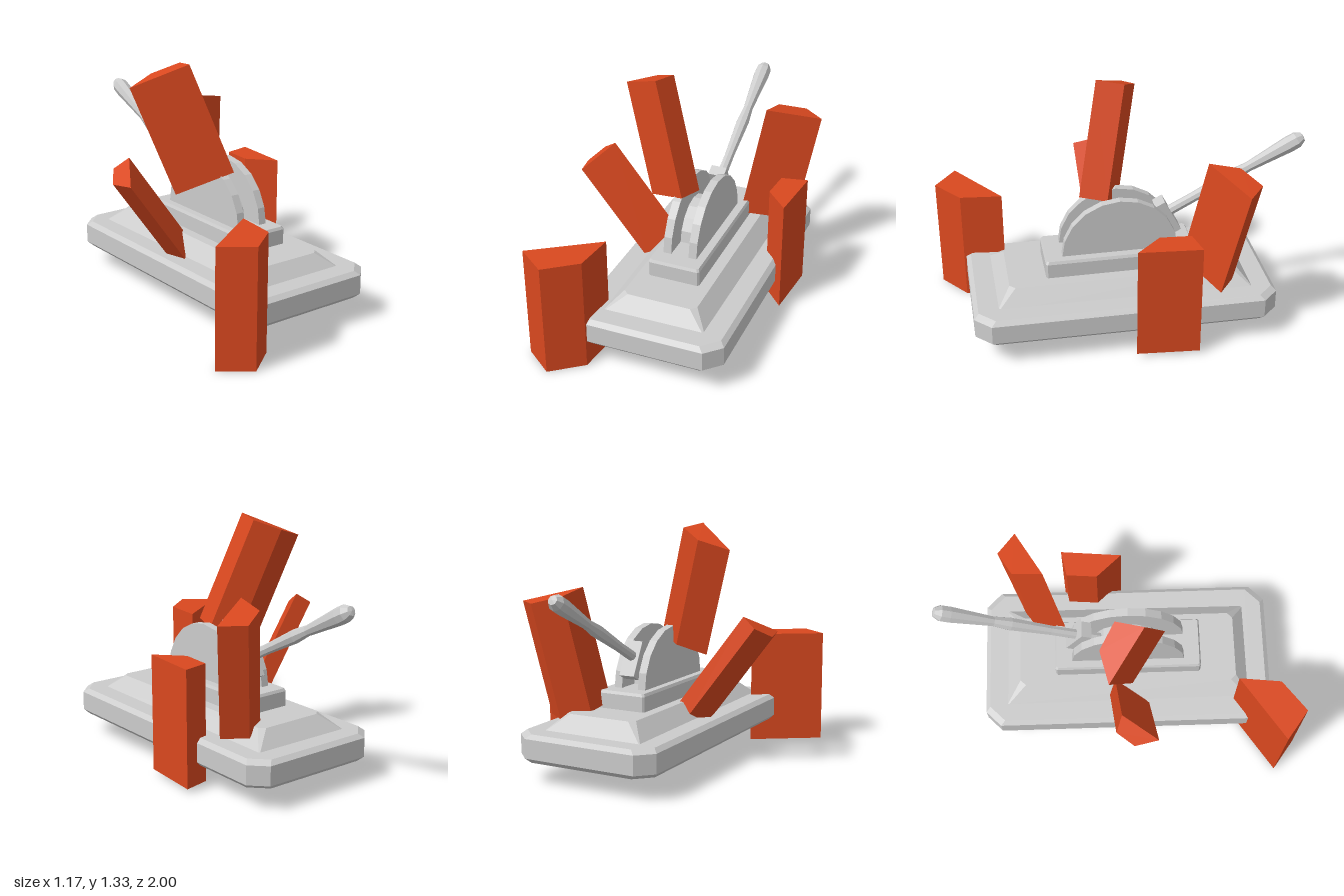
import * as THREE from 'three';
import { ConvexGeometry } from 'three/addons/geometries/ConvexGeometry.js';

const CX = 0.1, CZ = 0.035; // centre of the machine on its base
const TILT = 0.485; // lever's angle above the ground

export function createModel() {
  const model = new THREE.Group();
  model.name = 'leverOnBase';
  const grey = new THREE.MeshStandardMaterial({ color: 0xcccccc, flatShading: true });
  const red = new THREE.MeshStandardMaterial({ color: 0xd9481f, flatShading: true });

  function add(name, geometry, x = 0, y = 0, z = 0, material = grey, parent = model) {
    const mesh = new THREE.Mesh(geometry, material);
    mesh.name = name;
    mesh.position.set(x, y, z);
    parent.add(mesh);
    return mesh;
  }

  // Stack of corner-cut rectangles; each level is [halfX, halfZ, cornerCut, y]
  function loft(levels) {
    const pos = [], index = [];
    for (const [a, b, c, y] of levels) {
      const ring = [[a, b - c], [a, c - b], [a - c, -b], [c - a, -b], [-a, c - b], [-a, b - c], [c - a, b], [a - c, b]];
      for (const [x, z] of ring) pos.push(x, y, z);
    }
    const top = (levels.length - 1) * 8;
    for (let l = 0; l < top; l += 8) {
      for (let i = 0; i < 8; i++) {
        const j = (i + 1) % 8;
        index.push(l + i, l + j, l + 8 + j, l + i, l + 8 + j, l + 8 + i);
      }
    }
    for (let i = 1; i < 7; i++) {
      index.push(0, i + 1, i);
      index.push(top, top + i, top + i + 1);
    }
    const g = new THREE.BufferGeometry();
    g.setAttribute('position', new THREE.Float32BufferAttribute(pos, 3));
    g.setIndex(index);
    const flat = g.toNonIndexed();
    flat.computeVertexNormals();
    return flat;
  }

  // Base slab, slightly out of level
  const base = add('baseSlab', loft([
    [0.385, 0.8, 0.085, 0.12], [0.41, 0.825, 0.085, 0.145],
    [0.41, 0.825, 0.085, 0.25], [0.385, 0.8, 0.085, 0.272],
  ]), CX, 0, CZ);
  base.rotation.set(-0.007, 0, 0.005);

  // Sloped plinth and the block on it
  add('plinth', loft([[0.29, 0.7, 0.005, 0.265], [0.205, 0.62, 0.03, 0.353]]), CX, 0, CZ);
  add('mountBlock', loft([
    [0.145, 0.415, 0.01, 0.345], [0.145, 0.415, 0.01, 0.435], [0.137, 0.407, 0.01, 0.45],
  ]), 0.097, 0, CZ);

  // Half discs standing on the block: two side plates and a drum between them
  function halfDisc(name, radius, width, x, sides) {
    const g = new THREE.CylinderGeometry(radius, radius, width, sides, 1, false, 0, Math.PI);
    g.rotateZ(Math.PI / 2);
    add(name, g, x, 0.44, CZ);
  }
  halfDisc('leftPlate', 0.32, 0.045, 0.167, 10);
  halfDisc('rightPlate', 0.32, 0.045, 0.022, 10);
  halfDisc('drum', 0.19, 0.1, 0.095, 8);

  // Lever with a swelling grip, and the hub slab it passes through
  const profile = [
    [0, 0], [0.03, 0], [0.028, 0.3], [0.037, 0.54], [0.028, 0.64],
    [0.046, 0.89], [0.045, 0.94], [0.026, 0.975], [0, 0.98],
  ].map(([r, h]) => new THREE.Vector2(r, h));
  const lever = add('lever', new THREE.LatheGeometry(profile, 8), 0.097, 0.556, -0.125);
  lever.rotation.x = TILT - Math.PI / 2;
  const hub = add('leverHub', new THREE.BoxGeometry(0.09, 0.2, 0.06), 0.097, 0.6, -0.24);
  hub.rotation.x = TILT;

  // Four-sided red blocks: top corners, then the edge running from top to bottom
  const blocks = [
    ['frontBlock', [0, -0.64, 0],
      [[-0.55, 0.64, 0.88], [-0.39, 0.64, 1], [-0.22, 0.64, 0.87], [-0.195, 0.64, 0.64]]],
    ['sideBlock', [0, -0.64, 0],
      [[0.585, 0.66, -0.33], [0.44, 0.66, -0.3], [0.427, 0.66, -0.13], [0.555, 0.66, 0.01]]],
    ['highBlock', [0.2, -0.592, 0.13],
      [[-0.395, 1.2, -0.077], [-0.23, 1.25, -0.12], [-0.1, 1.307, -0.04], [-0.142, 1.326, 0.108]]],
    ['backBlock', [-0.1, -0.623, 0.107],
      [[0.3, 1.003, -0.415], [0.578, 0.93, -0.57], [0.46, 0.932, -0.663], [0.32, 0.97, -0.582]]],
    ['leaningBlock', [0.38, -0.51, -0.03],
      [[-0.588, 0.738, 0.05], [-0.563, 0.75, 0.18], [-0.526, 0.79, -0.045], [-0.447, 0.845, -0.013]]],
  ];
  for (const [name, edge, corners] of blocks) {
    const top = corners.map((c) => new THREE.Vector3(...c));
    const bottom = top.map((p) => p.clone().add(new THREE.Vector3(...edge)));
    add(name, new ConvexGeometry([...top, ...bottom]), 0, 0, 0, red);
  }
  return model;
}
